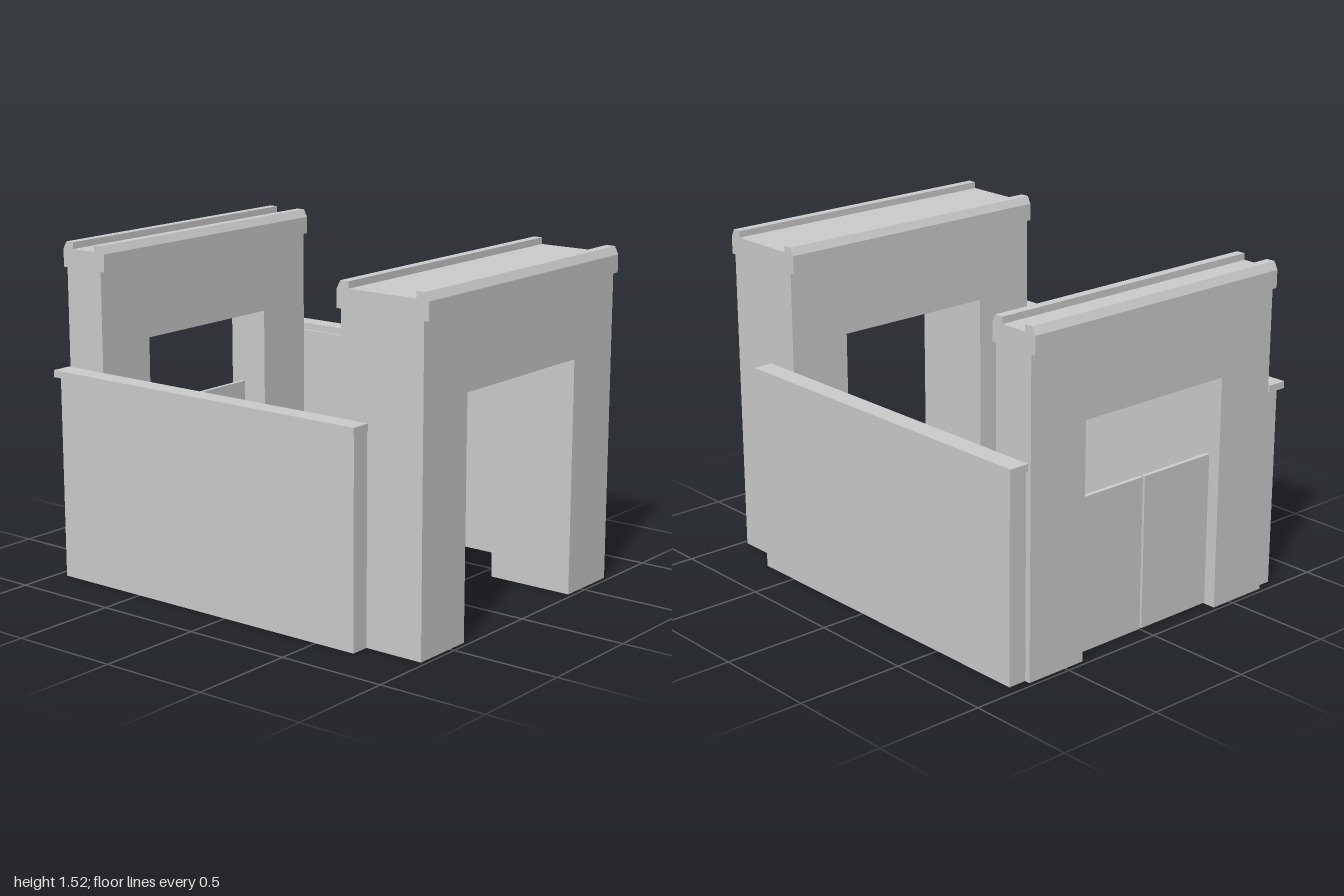
import * as THREE from 'three';

const material = new THREE.MeshStandardMaterial({ color: 0xcccccc });

function shapeOf(points) {
  return new THREE.Shape(points.map(([x, y]) => new THREE.Vector2(x, y)));
}

function addMesh(parent, name, geometry) {
  const mesh = new THREE.Mesh(geometry, material);
  mesh.name = name;
  parent.add(mesh);
  return mesh;
}

// Box given by its lower and upper corners
function addBox(parent, name, [x0, y0, z0], [x1, y1, z1]) {
  const mesh = addMesh(parent, name, new THREE.BoxGeometry(x1 - x0, y1 - y0, z1 - z0));
  mesh.position.set((x0 + x1) / 2, (y0 + y1) / 2, (z0 + z1) / 2);
}

// Gateway: two piers and a lintel, topped by a parapet with a raised lip on each edge
function makeGateway(name, zBack, zFront) {
  const gateway = new THREE.Group();
  gateway.name = name;
  const half = 0.7, open = 0.4, openTop = 1.065, capBottom = 1.405;

  const arch = shapeOf([
    [-half, 0], [-open, 0], [-open, openTop], [open, openTop],
    [open, 0], [half, 0], [half, capBottom], [-half, capBottom],
  ]);
  const body = new THREE.ExtrudeGeometry(arch, { depth: zFront - zBack, bevelEnabled: false });
  body.translate(0, 0, zBack);
  addMesh(gateway, 'archWall', body);

  // Parapet section drawn in (z, y), then turned to run along x
  const b = zBack - 0.022, f = zFront + 0.022;
  const section = shapeOf([
    [b, capBottom], [f, capBottom], [f, 1.485], [f - 0.018, 1.52], [f - 0.06, 1.52],
    [f - 0.06, 1.49], [b + 0.06, 1.49], [b + 0.06, 1.52], [b + 0.018, 1.52], [b, 1.485],
  ]);
  const cap = new THREE.ExtrudeGeometry(section, { depth: 2 * half, bevelEnabled: false });
  cap.rotateY(-Math.PI / 2);
  cap.scale(1, 1, 1).translate(half, 0, 0);
  addMesh(gateway, 'parapet', cap);
  return gateway;
}

export function createModel() {
  const model = new THREE.Group();
  model.name = 'gatehouse';

  model.add(makeGateway('frontGateway', 0.566, 0.978));
  model.add(makeGateway('rearGateway', -0.978, -0.774));

  // Side walls with coping, and the pair of doors in the rear gateway
  for (const [side, s] of [['left', 1], ['right', -1]]) {
    const span = (a, b) => (s > 0 ? [a, b] : [-b, -a]);
    const [w0, w1] = span(0.7, 0.787);
    addBox(model, side + 'Wall', [w0, 0, -0.952], [w1, 0.925, 0.7]);
    const [c0, c1] = span(0.712, 0.806);
    addBox(model, side + 'Coping', [c0, 0.925, -0.976], [c1, 0.957, 0.714]);
    const [d0, d1] = span(0.006, 0.4);
    addBox(model, side + 'Door', [d0, 0.004, -0.92], [d1, 0.703, -0.9]);
  }
  return model;
}
